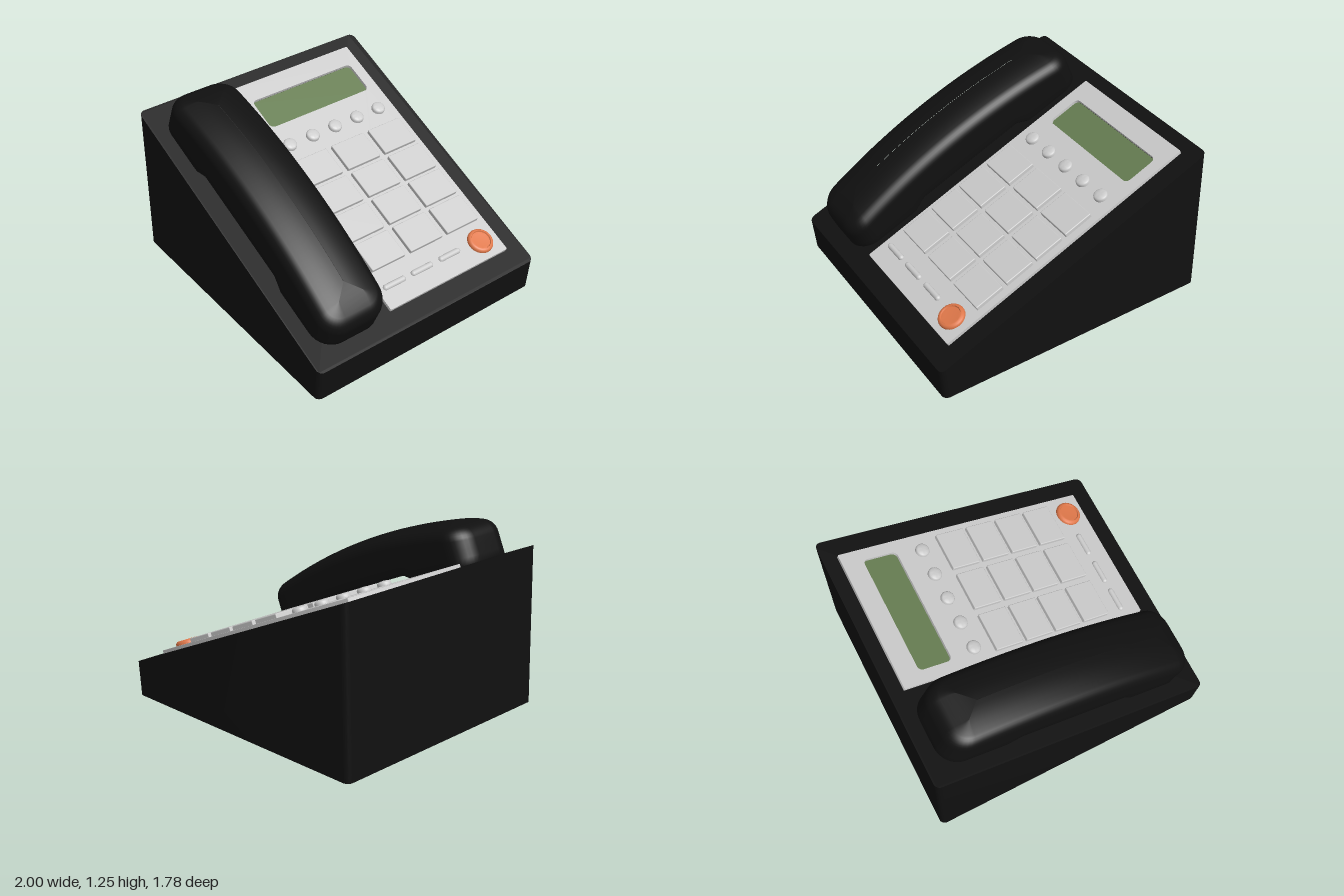
import * as THREE from 'three';
import { toCreasedNormals } from 'three/addons/utils/BufferGeometryUtils.js';
import { RoundedBoxGeometry } from 'three/addons/geometries/RoundedBoxGeometry.js';

const SLOPE = 0.434, TILT = Math.atan(SLOPE), DECK_Y = 0.664;
const PANEL_TOP = 0.022;

const material = (color) => new THREE.MeshStandardMaterial({ color });

function roundedRect(target, x0, y0, x1, y1, r) {
  target.moveTo(x0 + r, y0);
  target.lineTo(x1 - r, y0);
  target.absarc(x1 - r, y0 + r, r, -Math.PI / 2, 0, false);
  target.lineTo(x1, y1 - r);
  target.absarc(x1 - r, y1 - r, r, 0, Math.PI / 2, false);
  target.lineTo(x0 + r, y1);
  target.absarc(x0 + r, y1 - r, r, Math.PI / 2, Math.PI, false);
  target.lineTo(x0, y0 + r);
  target.absarc(x0 + r, y0 + r, r, Math.PI, Math.PI * 1.5, false);
  return target;
}

// Wedge: a rounded slab whose upper face is moved onto the sloping deck
function bodyGeometry() {
  const shape = roundedRect(new THREE.Shape(), -1, -0.89, 1, 0.89, 0.04);
  const geo = new THREE.ExtrudeGeometry(shape, { depth: 1, bevelEnabled: false, curveSegments: 6 });
  geo.rotateX(-Math.PI / 2);
  const p = geo.attributes.position;
  for (let i = 0; i < p.count; i++) {
    if (p.getY(i) > 0.5) {
      const x = p.getX(i) * 0.985 + 0.015;
      p.setX(i, x);
      p.setY(i, DECK_Y - SLOPE * x);
    } else p.setX(i, p.getX(i) * 0.99 - 0.01);
  }
  return toCreasedNormals(geo, 0.6);
}

// Handset outline in plan, shrunk by an inset
function handsetOutline(inset) {
  const L = 0.963, W = 0.245, R = 0.15, pts = [];
  const r = Math.max(R - inset, 0.001);
  const cx = L - inset - r, cz = Math.max(W - inset - r, 0);
  for (let k = 0; k < 4; k++) {
    const sx = k === 0 || k === 3 ? 1 : -1, sz = k < 2 ? 1 : -1;
    for (let j = 0; j <= 8; j++) {
      const a = (k + j / 8) * Math.PI / 2;
      pts.push([sx * cx + r * Math.cos(a), sz * cz + r * Math.sin(a)]);
    }
    if (k % 2 === 0) { // subdivide the long sides
      for (let j = 1; j < 36; j++) pts.push([sx * cx * (1 - j / 18), sz * (cz + r)]);
    }
  }
  return pts;
}

// Handset: stacked outlines between an arched underside and a bowed back
function handsetGeometry() {
  const top = (u) => 0.25 + 0.11 * (1 - (u / 0.96) ** 2) - 0.015 * u;
  const under = (u) => -0.01 + 0.058 * (1 - THREE.MathUtils.smoothstep(Math.abs(u), 0.4, 0.51));
  const rings = [[0.245, under], [0.1, under], [0.012, under], [0.012, under],
    [0, (u) => under(u) + 0.015]];
  const r = 0.09;
  for (const f of [0.35, 0.7]) rings.push([0, (u) => under(u) + f * (top(u) - 0.12 - under(u))]);
  for (let j = 0; j <= 7; j++) {
    const a = (j / 7) * 1.25;
    rings.push([r * (1 - Math.cos(a)), (u) => top(u) - 0.115 + r * Math.sin(a)]);
  }
  const start = r * (1 - Math.cos(1.25));
  for (let j = 1; j <= 6; j++) {
    const t = j / 6;
    rings.push([start + (0.245 - start) * t, (u) => top(u) - 0.03 + 0.03 * (1 - (1 - t) ** 2)]);
  }
  const pos = [], index = [];
  let n = 0;
  rings.forEach(([inset, height], j) => {
    const pts = handsetOutline(inset);
    n = pts.length;
    for (const [u, z] of pts) pos.push(u, height(u), z);
    if (j === 0 || j === 3) return; // ring 3 repeats ring 2 for a crisp lower edge
    for (let i = 0; i < n; i++) {
      const a = (j - 1) * n + i, b = (j - 1) * n + (i + 1) % n;
      index.push(a, a + n, b, b, a + n, b + n);
    }
  });
  const geo = new THREE.BufferGeometry();
  geo.setAttribute('position', new THREE.Float32BufferAttribute(pos, 3));
  geo.setIndex(index);
  geo.computeVertexNormals();
  return geo;
}

const lathe = (points, segments = 32) => toCreasedNormals(
  new THREE.LatheGeometry(points.map(([x, y]) => new THREE.Vector2(x, y)), segments), 0.7);

export function createModel() {
  const model = new THREE.Group();
  model.name = 'deskPhone';
  const black = material(0x101010), grey = material(0xcccccc);
  const green = material(0x667d52), orange = material(0xe0784a);

  const body = new THREE.Mesh(bodyGeometry(), black);
  body.name = 'body';
  model.add(body);

  // Everything on the deck lives in its tilted frame
  const deck = new THREE.Group();
  deck.name = 'deck';
  deck.position.y = DECK_Y;
  deck.rotation.z = -TILT;
  model.add(deck);
  const toU = (x, v) => (x - v * Math.sin(TILT)) / Math.cos(TILT);
  const place = (name, geo, mat, x, v, z) => {
    const mesh = new THREE.Mesh(geo, mat);
    mesh.name = name;
    mesh.position.set(toU(x, v), v, z);
    deck.add(mesh);
    return mesh;
  };

  // Face plate with a display window
  const plate = roundedRect(new THREE.Shape(), -0.955, -0.24, 0.945, 0.76, 0.008);
  plate.holes.push(roundedRect(new THREE.Path(), toU(-0.735, 0.02), -0.155, toU(-0.51, 0.02), 0.68, 0.035));
  const plateGeo = new THREE.ExtrudeGeometry(plate, { depth: PANEL_TOP + 0.004, bevelEnabled: false, curveSegments: 6 });
  plateGeo.rotateX(-Math.PI / 2);
  const panel = new THREE.Mesh(toCreasedNormals(plateGeo, 0.6), grey);
  panel.name = 'facePlate';
  panel.position.y = -0.004;
  deck.add(panel);
  place('display', new THREE.BoxGeometry(0.26, 0.006, 0.85), green, -0.6225, -0.001, -0.2625);

  // Keypad
  const keyGeo = new RoundedBoxGeometry(0.21, 0.045, 0.272, 2, 0.006);
  for (const x of [-0.125, 0.095, 0.312, 0.53])
    for (const z of [-0.575, -0.26, 0.058]) place('key', keyGeo, grey, x, 0.0275, z);

  // Round buttons beside the display
  const buttonGeo = lathe([[0.047, 0], [0.047, 0.018], [0.044, 0.025], [0.036, 0.03], [0.018, 0.033], [0, 0.034]], 24);
  for (let i = 0; i < 5; i++) place('roundButton', buttonGeo, grey, -0.35, PANEL_TOP - 0.002, -0.635 + i * 0.189);

  // Slim oval buttons
  const ovalGeo = new THREE.CapsuleGeometry(0.02, 0.14, 6, 16).rotateX(Math.PI / 2);
  for (const z of [-0.36, -0.125, 0.105]) place('ovalButton', ovalGeo, grey, 0.742, PANEL_TOP, z);

  // Large call button with a raised rim and dished centre
  const callGeo = lathe([[0.09, 0], [0.09, 0.012], [0.086, 0.022], [0.077, 0.029], [0.068, 0.03],
    [0.064, 0.022], [0.05, 0.021], [0, 0.02]]);
  place('callButton', callGeo, orange, 0.755, PANEL_TOP - 0.002, -0.62);

  const handset = new THREE.Mesh(handsetGeometry(), black);
  handset.name = 'handset';
  handset.position.set(0.012, 0, 0.545);
  deck.add(handset);

  return model;
}
